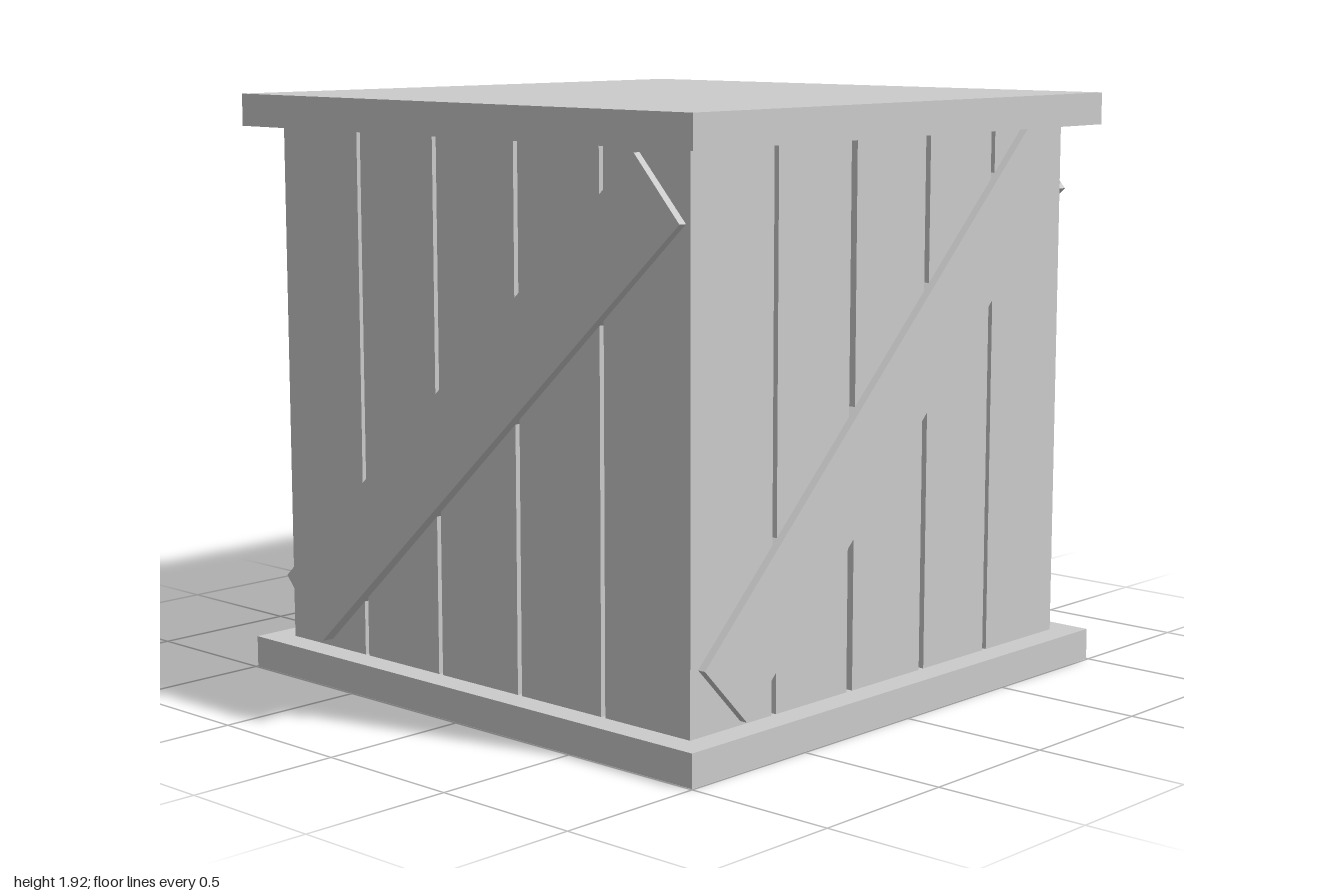
import * as THREE from 'three';

const HALF = 0.905;          // half width of the plank box
const BASE_TOP = 0.105, LID_BOTTOM = 1.82, LID_TOP = 1.925;
const GROOVE_DEPTH = 0.03;

export function createModel() {
  const crate = new THREE.Group();
  crate.name = 'crate';
  const wood = new THREE.MeshStandardMaterial({ color: 0xcccccc, flatShading: true });

  const addBox = (name, w, h, d, parent = crate) => {
    const mesh = new THREE.Mesh(new THREE.BoxGeometry(w, h, d), wood);
    mesh.name = name;
    parent.add(mesh);
    return mesh;
  };

  // Base and lid slabs
  addBox('base', 1.99, BASE_TOP, 1.99).position.y = BASE_TOP / 2;
  addBox('lid', 2, LID_TOP - LID_BOTTOM, 2).position.y = (LID_BOTTOM + LID_TOP) / 2;

  // Plank walls: a square outline notched by four grooves per side, extruded upwards
  const mirrored = (list) => list.map(([a, b]) => [-b, -a]).reverse();
  const front = [[-0.545, -0.525], [-0.19, -0.162], [0.176, 0.2], [0.518, 0.538]];
  const right = [[-0.56, -0.543], [-0.2, -0.182], [0.163, 0.181], [0.523, 0.54]];
  const outline = [];
  [front, right, mirrored(front), mirrored(right)].forEach((grooves, side) => {
    const turn = side * Math.PI / 2;
    const add = (t, depth) => outline.push(
      new THREE.Vector2(t, depth - HALF).rotateAround(new THREE.Vector2(), turn));
    add(-HALF, 0);
    for (const [a, b] of grooves) {
      add(a, 0);
      add(a, GROOVE_DEPTH);
      add(b, GROOVE_DEPTH);
      add(b, 0);
    }
  });
  const wallGeometry = new THREE.ExtrudeGeometry(new THREE.Shape(outline), {
    depth: LID_BOTTOM - BASE_TOP, bevelEnabled: false,
  });
  wallGeometry.rotateX(-Math.PI / 2).translate(0, BASE_TOP, 0);
  const walls = new THREE.Mesh(wallGeometry, wood);
  walls.name = 'plankWalls';
  crate.add(walls);

  // Diagonal braces: yaw turns the side outwards, slope is the diagonal,
  // lean tips the side braces slightly out of plumb
  const THICK = 0.07;
  const addBrace = (name, yaw, slope, y, outer, lean) => {
    const holder = new THREE.Group();
    holder.name = name;
    holder.position.set(Math.sin(yaw), 0, Math.cos(yaw)).multiplyScalar(outer - THICK / 2).setY(y);
    holder.rotation.set(0, yaw, lean, 'ZYX');
    addBox(name + 'Board', 2.172, 0.266, THICK, holder).rotation.z = slope;
    crate.add(holder);
  };
  addBrace('frontBrace', 0, 0.771, 0.97, 0.932, 0);
  addBrace('backBrace', Math.PI, -0.771, 0.97, 0.937, 0);
  addBrace('leftBrace', Math.PI / 2, -0.747, 0.965, 0.955, -0.012);
  addBrace('rightBrace', -Math.PI / 2, 0.747, 0.965, 0.94, -0.012);

  return crate;
}
